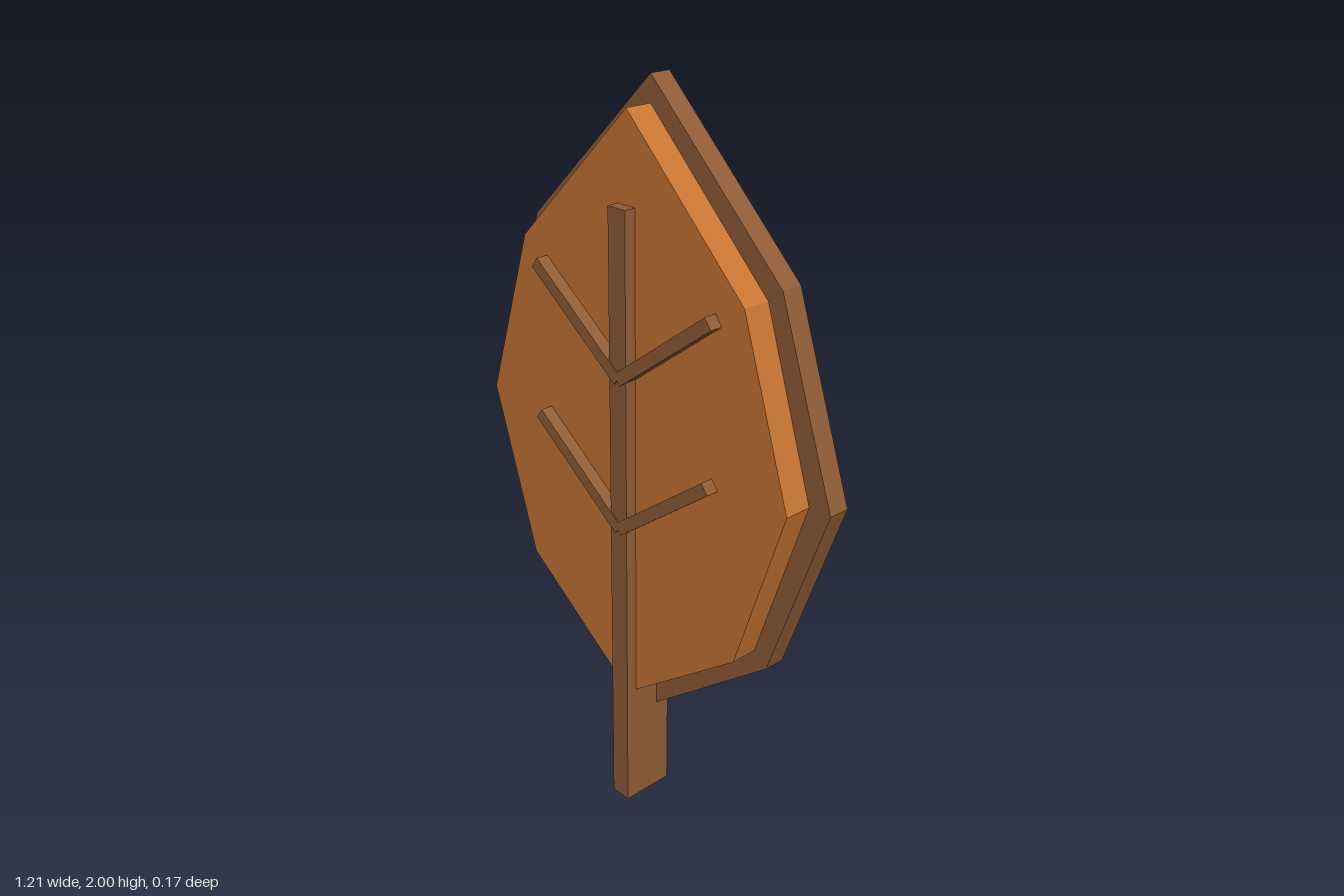
import * as THREE from 'three';

export function createModel() {
  const model = new THREE.Group();
  const brown = new THREE.MeshStandardMaterial({ color: 0x8f5c36 });
  brown.name = 'bark brown';
  const orange = new THREE.MeshStandardMaterial({ color: 0xc87533 });
  orange.name = 'autumn orange';

  const add = (name, geometry, material, x, y, z) => {
    const mesh = new THREE.Mesh(geometry, material);
    mesh.name = name;
    mesh.position.set(x, y, z);
    model.add(mesh);
    return mesh;
  };

  // Symmetric leaf plate from its right-hand outline, listed bottom to top
  const leafPlate = (half, depth) => {
    const left = half.slice(1, -1).reverse().map(([x, y]) => [-x, y]);
    const points = [...half, ...left].map(([x, y]) => new THREE.Vector2(x, y));
    return new THREE.ExtrudeGeometry(new THREE.Shape(points), { depth, bevelEnabled: false });
  };

  // Brown backing that forms the rim
  add('leafRim', leafPlate([[0, 0.255], [0.43, 0.585], [0.605, 1.085], [0.43, 1.585], [0, 2]], 0.06),
    brown, 0, 0, -0.086);

  // Raised orange blade
  add('leafBlade', leafPlate([[0, 0.335], [0.388, 0.62], [0.54, 1.085], [0.388, 1.55], [0, 1.932]], 0.078),
    orange, 0, 0, -0.027);

  // Stem and midrib in one bar
  add('stem', new THREE.BoxGeometry(0.06, 1.705, 0.152), brown, 0, 0.8525, 0.007);

  // Two mirrored pairs of side veins
  const angle = 0.64, length = 0.385;
  for (const [level, y] of [['lower', 0.855], ['upper', 1.272]]) {
    for (const side of [1, -1]) {
      const vein = add(`${level}${side > 0 ? 'Left' : 'Right'}Vein`,
        new THREE.BoxGeometry(length, 0.034, 0.046), brown,
        side * Math.cos(angle) * length / 2, y + Math.sin(angle) * length / 2, 0.063);
      vein.rotation.z = side * angle;
    }
  }
  return model;
}
